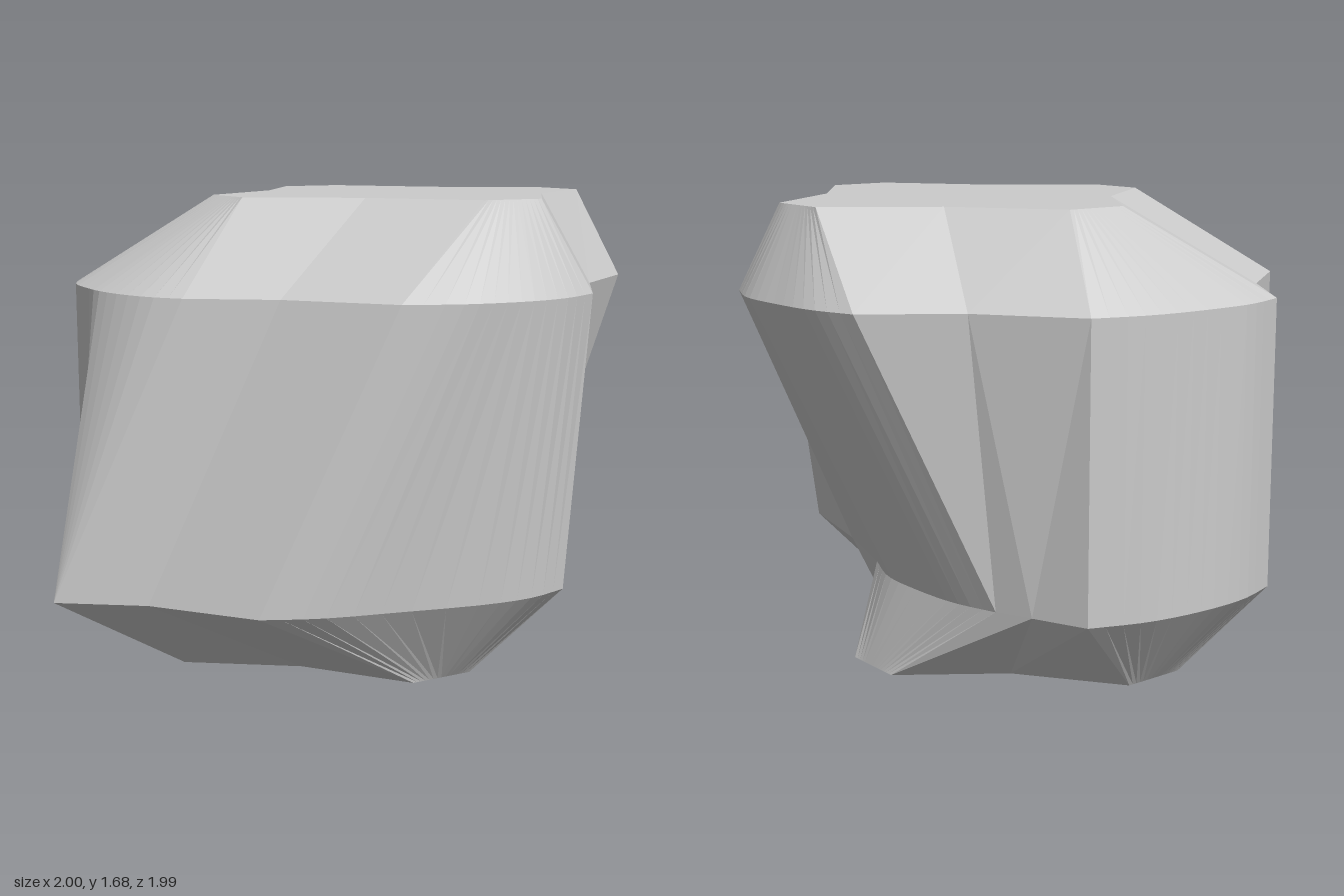
import * as THREE from 'three';

const STEPS = 14;

// Each corner: rounded arc and following valley point [x, z], at the shoulder and at the foot
const corners = [
  { // front left
    shoulder: [[0.26, 0.91], [0.45, 0.87], [0.58, 0.81], [0.7, 0.73], [0.8, 0.62], [0.88, 0.47]],
    foot: [[-0.2, 0.99], [0, 0.95], [0.25, 0.85], [0.55, 0.72], [0.7, 0.62], [0.8, 0.5]],
    valleys: [[0.88, 0.09], [0.64, 0.13]],
  },
  { // back left
    shoulder: [[1, -0.27], [0.95, -0.46], [0.84, -0.62], [0.71, -0.77], [0.56, -0.88]],
    foot: [[0.53, -0.19], [0.48, -0.38], [0.375, -0.54], [0.245, -0.69], [0.1, -0.8]],
    valleys: [[0.19, -0.88], [-0.02, -0.87]],
  },
  { // back right
    shoulder: [[-0.2, -1], [-0.41, -0.93], [-0.6, -0.82], [-0.77, -0.69], [-0.88, -0.55]],
    foot: [[-0.2, -0.98], [-0.41, -0.92], [-0.6, -0.82], [-0.77, -0.69], [-0.88, -0.55]],
    valleys: [[-0.88, -0.16], [-0.88, -0.16]],
  },
  { // front right, pinched to a sharp corner at the foot
    shoulder: [[-1, 0.2], [-0.97, 0.34], [-0.89, 0.48], [-0.82, 0.58], [-0.72, 0.68], [-0.6, 0.76], [-0.48, 0.8]],
    foot: [[-1, 0.2], [-0.97, 0.34], [-0.89, 0.48], [-0.93, 0.87], [-0.93, 0.87], [-0.93, 0.87], [-0.93, 0.87]],
    valleys: [[-0.15, 0.8], [-0.6, 0.87]],
  },
];

// Point on a polyline (sharp) or on a smooth curve through the points
function sample(points, t, y, smooth) {
  const v = points.map(([x, z]) => new THREE.Vector3(x, y, z));
  if (smooth) return new THREE.CatmullRomCurve3(v).getPoint(t);
  const s = t * (v.length - 1);
  const i = Math.min(Math.floor(s), v.length - 2);
  return v[i].clone().lerp(v[i + 1], s - i);
}

function outerLoop(key, y) {
  const loop = [];
  corners.forEach((c, k) => {
    const smooth = !(key === 'foot' && k === 3);
    for (let i = 0; i <= STEPS; i++) loop.push(sample(c[key], i / STEPS, y, smooth));
    const [x, z] = c.valleys[key === 'shoulder' ? 0 : 1];
    loop.push(new THREE.Vector3(x, y, z));
  });
  return loop;
}

// Flat end outline: one quarter repeated four times about its centre
function endLoop(cx, cz, y) {
  const loop = [];
  for (let q = 0; q < 4; q++) {
    const turn = ([x, z]) => {
      for (let i = 0; i < q; i++) [x, z] = [z, -x];
      return [x + cx, z + cz];
    };
    const edge = [turn([0.33, 0.655]), turn([0.52, 0.515])];
    for (let i = 0; i <= STEPS; i++) loop.push(sample(edge, i / STEPS, y, false));
    const [x, z] = turn([0.52, 0.085]);
    loop.push(new THREE.Vector3(x, y, z));
  }
  return loop;
}

const material = new THREE.MeshStandardMaterial({ color: 0xcccccc, flatShading: true, side: THREE.DoubleSide });

function addMesh(group, name, triangles) {
  const geometry = new THREE.BufferGeometry().setFromPoints(triangles);
  geometry.computeVertexNormals();
  const mesh = new THREE.Mesh(geometry, material);
  mesh.name = name;
  group.add(mesh);
}

function band(lower, upper) {
  const out = [];
  lower.forEach((a, i) => {
    const j = (i + 1) % lower.length;
    out.push(a, lower[j], upper[j], a, upper[j], upper[i]);
  });
  return out;
}

function cap(loop, cx, cz, up) {
  const centre = new THREE.Vector3(cx, loop[0].y, cz);
  return loop.flatMap((a, i) => {
    const b = loop[(i + 1) % loop.length];
    return up ? [centre, a, b] : [centre, b, a];
  });
}

export function createModel() {
  const group = new THREE.Group();
  group.name = 'facetedBlock';
  const base = endLoop(-0.045, -0.02, 0);
  const foot = outerLoop('foot', 0.32);
  const shoulder = outerLoop('shoulder', 1.36);
  const top = endLoop(0.18, -0.065, 1.68);

  addMesh(group, 'baseFace', cap(base, -0.045, -0.02, false));
  addMesh(group, 'lowerBevel', band(base, foot));
  addMesh(group, 'sideWall', band(foot, shoulder));
  addMesh(group, 'upperBevel', band(shoulder, top));
  addMesh(group, 'topFace', cap(top, 0.18, -0.065, true));
  return group;
}
